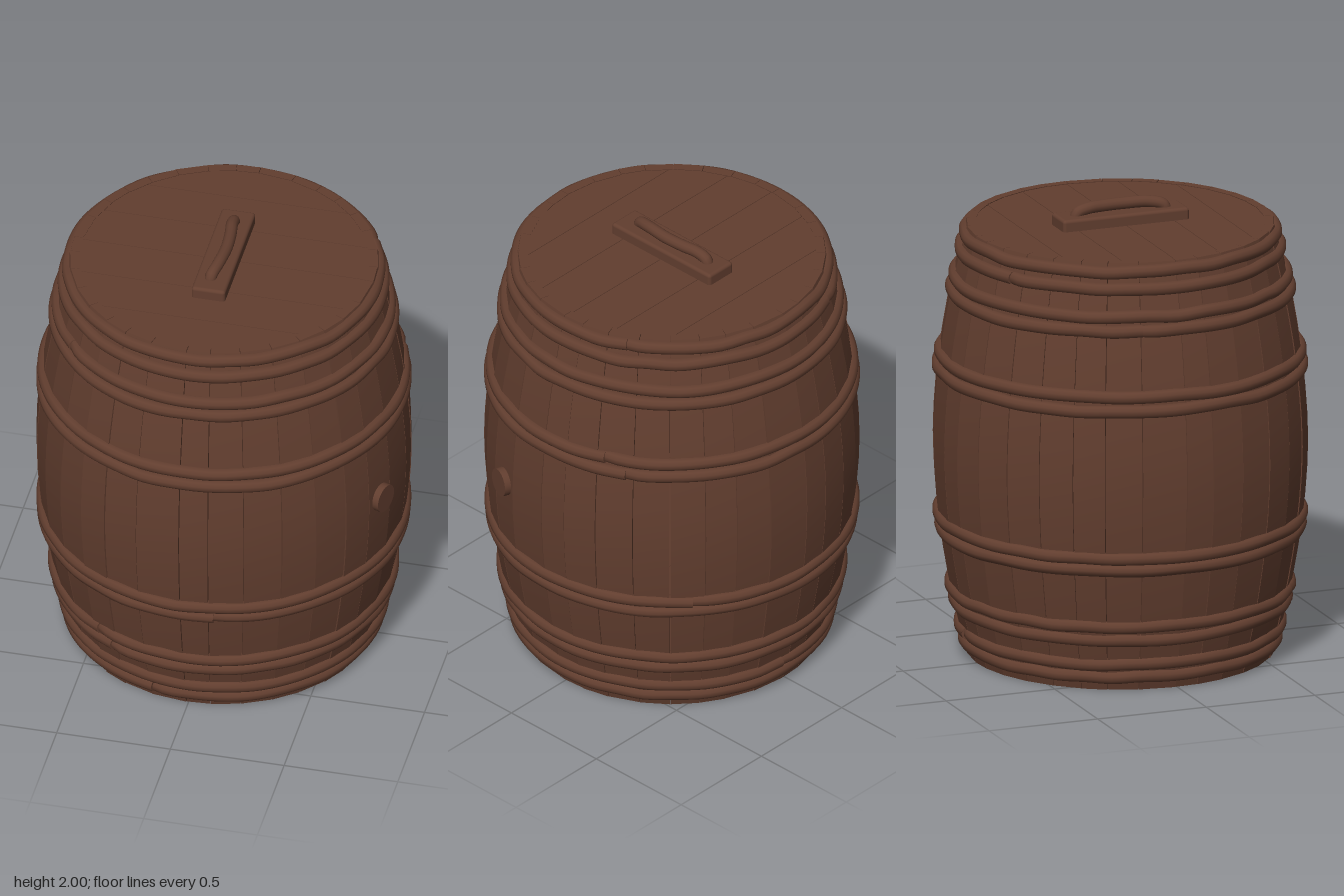
import * as THREE from 'three';
import { RoundedBoxGeometry } from 'three/addons/geometries/RoundedBoxGeometry.js';

const HEIGHT = 1.9;
const rad = THREE.MathUtils.degToRad;

// Bulging outline of the barrel
const radiusAt = (y) => 0.66 + 0.145 * (1 - Math.pow(Math.abs(y / 0.95 - 1), 1.8));

// Small repeatable random numbers
function seeded(seed) {
  let s = seed;
  return () => (s = (s * 16807) % 2147483647) / 2147483647;
}

export function createModel() {
  const wood = new THREE.MeshStandardMaterial({ color: 0x623e2f });
  wood.name = 'brown wood';
  const model = new THREE.Group();
  model.name = 'barrel';
  const random = seeded(77);

  function add(name, geometry, parent = model) {
    const mesh = new THREE.Mesh(geometry, wood);
    mesh.name = name;
    parent.add(mesh);
    return mesh;
  }
  function addGroup(name) {
    const group = new THREE.Group();
    group.name = name;
    model.add(group);
    return group;
  }

  // Staves: boxes bent onto the outline, uneven widths repeated each quarter turn
  const staves = addGroup('staves');
  const joints = [0, 9, 20, 32, 43.5, 54.5, 64.5, 76, 90];
  for (let quarter = 0; quarter < 4; quarter++) {
    for (let i = 0; i < 8; i++) {
      const start = rad(quarter * 90 + joints[i] - 0.7 + 0.12);
      const end = rad(quarter * 90 + joints[i + 1] - 0.7 - 0.12);
      const geometry = new THREE.BoxGeometry(1, 1, 1, 1, 16, 1);
      const p = geometry.attributes.position;
      const lift = (random() - 0.5) * 0.004;
      for (let v = 0; v < p.count; v++) {
        const angle = THREE.MathUtils.lerp(start, end, p.getX(v) + 0.5);
        const y = (p.getY(v) + 0.5) * HEIGHT;
        const r = radiusAt(y) + lift - (p.getZ(v) > 0 ? 0 : 0.04);
        p.setXYZ(v, r * Math.sin(angle), y, r * Math.cos(angle));
      }
      geometry.computeVertexNormals();
      add('stave', geometry, staves);
    }
  }

  // Hoops: slightly uneven bent rods, one end tucked under the other
  const hoops = addGroup('hoops');
  const hoopRows = [
    [1.86, 111], [1.79, 200], [1.67, -57], [1.61, 250], [1.33, 106], [1.27, 113],
    [0.615, 134], [0.56, 4], [0.295, -39], [0.235, -34], [0.12, 170], [0.06, -19],
  ];
  for (const [y, seam] of hoopRows) {
    const points = [];
    const steps = 36;
    for (let i = 0; i <= steps; i++) {
      const angle = rad(seam + (i / steps) * 366);
      const tuck = i === 0 ? -0.025 : 0;
      const py = y + (random() - 0.5) * 0.008;
      const r = radiusAt(py) - 0.007 + tuck + (random() - 0.5) * 0.004;
      points.push(new THREE.Vector3(r * Math.sin(angle), py, r * Math.cos(angle)));
    }
    const curve = new THREE.CatmullRomCurve3(points);
    add('hoop', new THREE.TubeGeometry(curve, 108, 0.029, 10), hoops);
    for (const t of [0, 1]) {
      const cap = add('hoopEnd', new THREE.CircleGeometry(0.029, 10), hoops);
      const direction = curve.getTangentAt(t).multiplyScalar(t ? 1 : -1);
      cap.position.copy(curve.getPointAt(t));
      cap.lookAt(cap.position.clone().add(direction));
    }
  }

  // Round ends cut from parallel planks
  function planks(name, y) {
    const group = addGroup(name);
    const R = 0.623, gap = 0.0015;
    const cuts = [-R, -0.435, -0.22, 0, 0.22, 0.435, R];
    for (let i = 0; i < cuts.length - 1; i++) {
      const z0 = cuts[i] + (i ? gap : 0);
      const z1 = cuts[i + 1] - (i < cuts.length - 2 ? gap : 0);
      const right = [], left = [];
      for (let k = 0; k <= 10; k++) {
        const a = THREE.MathUtils.lerp(Math.asin(z0 / R), Math.asin(z1 / R), k / 10);
        right.push(new THREE.Vector2(R * Math.cos(a), R * Math.sin(a)));
        left.unshift(new THREE.Vector2(-R * Math.cos(a), R * Math.sin(a)));
      }
      const geometry = new THREE.ExtrudeGeometry(new THREE.Shape([...right, ...left]), {
        depth: 0.04, bevelEnabled: false,
      });
      geometry.rotateX(-Math.PI / 2).translate(0, y, 0);
      add('plank', geometry, group);
    }
  }
  planks('lid', HEIGHT - 0.043);
  planks('bottom', 0.003);

  // Lid handle: rounded plate and a bent grip
  const plate = add('handlePlate', new RoundedBoxGeometry(0.148, 0.07, 0.58, 3, 0.014));
  plate.position.set(-0.002, 1.913, 0);
  const grip = new THREE.CatmullRomCurve3([
    [-0.012, 1.925, 0.205], [-0.01, 1.955, 0.195], [0.005, 1.972, 0.13], [0.015, 1.973, 0.02],
    [0.01, 1.973, -0.08], [0, 1.971, -0.15], [-0.003, 1.955, -0.2], [-0.003, 1.925, -0.21],
  ].map((p) => new THREE.Vector3(...p)));
  add('handleGrip', new THREE.TubeGeometry(grip, 40, 0.026, 12));

  // Bung in the left side
  const bungAngle = rad(70);
  const bung = add('bung', new THREE.CylinderGeometry(0.063, 0.063, 0.08, 24).rotateX(Math.PI / 2));
  bung.position.set(0.79 * Math.sin(bungAngle), 0.955, 0.79 * Math.cos(bungAngle));
  bung.rotation.y = bungAngle;

  return model;
}
